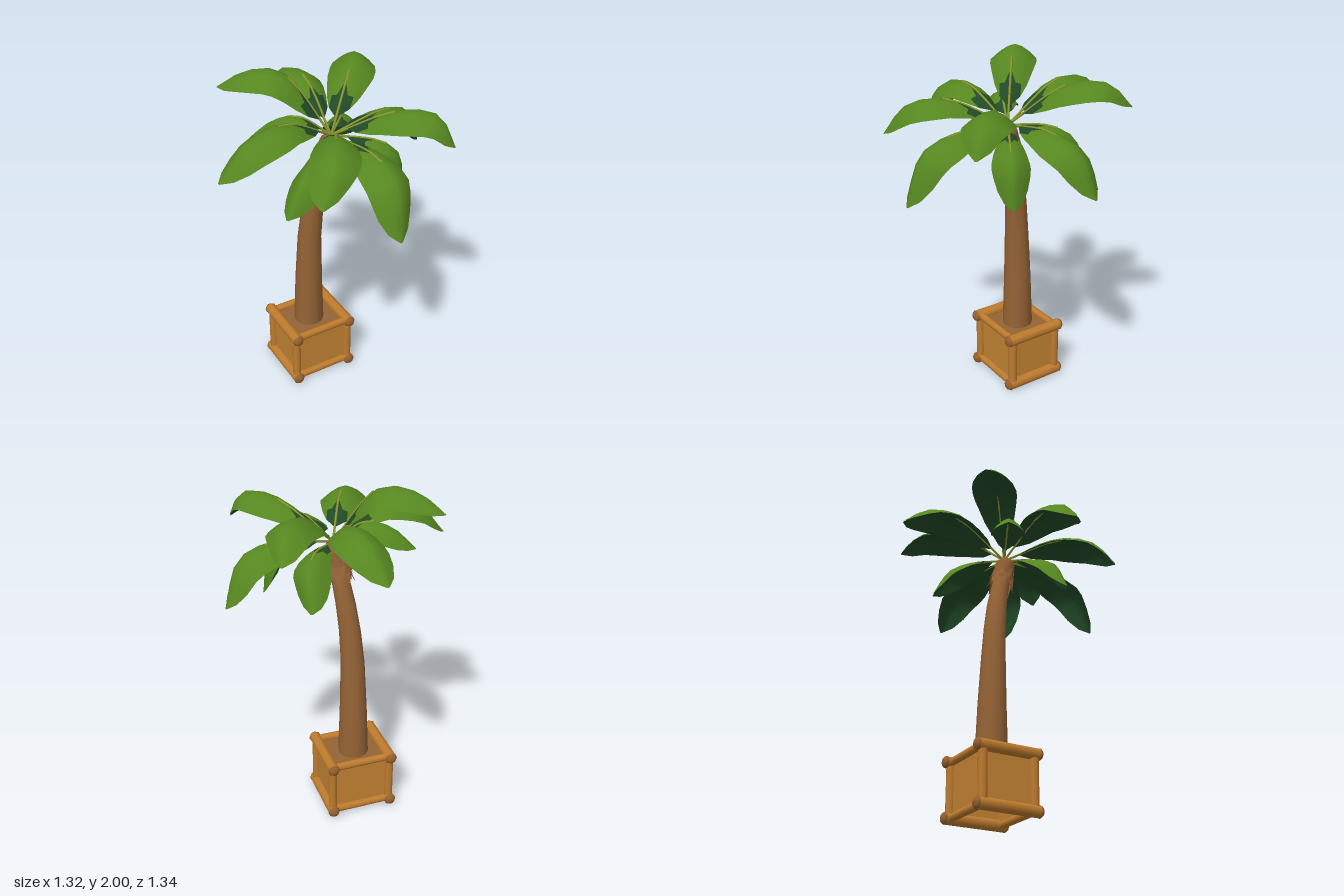
import * as THREE from 'three';
import { mergeVertices } from 'three/addons/utils/BufferGeometryUtils.js';

const mat = (name, color, side = THREE.FrontSide) => {
  const m = new THREE.MeshStandardMaterial({ color, side });
  m.name = name;
  return m;
};

export function createModel() {
  const model = new THREE.Group();
  model.name = 'pottedPalm';
  const logWood = mat('logWood', 0xbf7c2e);
  const panelWood = mat('panelWood', 0xc38333);
  const barkBrown = mat('barkBrown', 0x946335);
  const endBrown = mat('logEndBrown', 0x99632f);
  const huskBrown = mat('huskBrown', 0x8f5d34, THREE.DoubleSide);
  const leafGreen = mat('leafGreen', 0x568720);
  const leafDark = mat('leafDarkGreen', 0x224a27);
  const stemOlive = mat('stemOlive', 0x8c982f);

  const add = (parent, name, geo, material, x = 0, y = 0, z = 0) => {
    const m = new THREE.Mesh(geo, material);
    m.name = name;
    m.position.set(x, y, z);
    parent.add(m);
    return m;
  };

  // Planter: four thin panels, open below, framed with round logs
  const planter = new THREE.Group();
  planter.name = 'planter';
  planter.position.set(-0.047, 0, -0.1);
  model.add(planter);
  add(planter, 'soil', new THREE.BoxGeometry(0.33, 0.008, 0.28), barkBrown, 0, 0.333, 0);
  for (const s of [-1, 1]) {
    add(planter, 'sidePanel', new THREE.BoxGeometry(0.01, 0.29, 0.29), panelWood, s * 0.17, 0.19, 0);
    add(planter, 'endPanel', new THREE.BoxGeometry(0.34, 0.29, 0.01), panelWood, 0, 0.19, s * 0.142);
  }
  for (const y of [0.039, 0.346]) {
    for (const s of [-1, 1]) {
      const long = add(planter, 'sideLog', new THREE.CylinderGeometry(0.034, 0.034, 0.366, 8, 1, true), logWood, s * 0.179, y, 0);
      long.rotation.x = Math.PI / 2;
      for (const e of [-1, 1]) {
        const cap = add(planter, 'logEnd', new THREE.SphereGeometry(0.036, 8, 4), endBrown, s * 0.179, y, e * 0.182);
        cap.rotation.x = Math.PI / 2;
        cap.scale.y = 0.58;
      }
      const cross = add(planter, 'crossLog', new THREE.CylinderGeometry(0.023, 0.023, 0.34, 8), logWood, 0, y, s * 0.153);
      cross.rotation.z = Math.PI / 2;
    }
  }
  for (const x of [-0.178, 0.178]) for (const z of [-0.153, 0.153]) {
    add(planter, 'cornerPost', new THREE.CylinderGeometry(0.026, 0.026, 0.3, 8), logWood, x, 0.19, z);
  }

  // Trunk: rings of [y, x, z, radius] from the soil up
  const rings = [
    [0.32, -0.05, -0.105, 0.091], [0.65, -0.049, -0.102, 0.08], [0.95, -0.046, -0.093, 0.069],
    [1.14, -0.034, -0.078, 0.063], [1.3, -0.017, -0.055, 0.058], [1.42, 0.0, -0.027, 0.053],
    [1.54, 0.013, 0.006, 0.05], [1.61, 0.021, 0.025, 0.05],
  ];
  let trunk = new THREE.CylinderGeometry(1, 1, 1, 12, rings.length - 1, true);
  trunk.deleteAttribute('uv');
  trunk.deleteAttribute('normal');
  trunk = mergeVertices(trunk);
  const p = trunk.attributes.position;
  for (let i = 0; i < p.count; i++) {
    const [y, x, z, r] = rings[Math.round((p.getY(i) + 0.5) * (rings.length - 1))];
    p.setXYZ(i, x + p.getX(i) * r, y, z + p.getZ(i) * r);
  }
  trunk.computeVertexNormals();
  add(model, 'trunk', trunk, barkBrown);

  // Crown: rounded head with two rows of pointed husk scales
  const crown = new THREE.Group();
  crown.name = 'crown';
  crown.position.set(0.02, 1.595, 0.02);
  crown.quaternion.setFromUnitVectors(new THREE.Vector3(0, 1, 0), new THREE.Vector3(0.1, 1, 0.26).normalize());
  model.add(crown);
  add(crown, 'crownHead', new THREE.CapsuleGeometry(0.061, 0.05, 4, 12), huskBrown, 0, -0.025, 0);
  const scales = [];
  const polar = (a, r, y) => [Math.sin(a) * r, y, Math.cos(a) * r];
  for (const [top, shift] of [[-0.03, 0], [-0.075, 0.5]]) {
    for (let k = 0; k < 8; k++) {
      const a = (k + shift) * Math.PI / 4, h = Math.PI / 7;
      const l = polar(a - h, 0.062, top), r = polar(a + h, 0.062, top);
      const ml = polar(a - h, 0.067, top - 0.05), mr = polar(a + h, 0.067, top - 0.05);
      scales.push(...l, ...ml, ...mr, ...l, ...mr, ...r, ...ml, ...polar(a, 0.082, top - 0.115), ...mr);
    }
  }
  const scaleGeo = new THREE.BufferGeometry();
  scaleGeo.setAttribute('position', new THREE.Float32BufferAttribute(scales, 3));
  scaleGeo.computeVertexNormals();
  add(crown, 'huskScales', scaleGeo, huskBrown);

  // Leaf outline: distance along the midrib and half width there
  const outline = [
    [0.13, 0.06], [0.2, 0.45], [0.29, 0.7], [0.39, 0.87], [0.5, 1],
    [0.62, 1.02], [0.74, 0.95], [0.85, 0.78], [0.94, 0.48], [1, 0.05],
  ];
  const cols = 6;
  const up = new THREE.Vector3(0, 1, 0);

  // One sheet of a leaf, bent down at both sides; the top is dark near its base, ending in a point
  function leafSheet(curve, side, halfWidth, lower) {
    const pos = [], green = [], dark = [];
    for (const [t, w] of outline) {
      const c = curve.getPointAt(t);
      const n = side.clone().cross(curve.getTangentAt(t)).normalize();
      for (let j = 0; j <= cols; j++) {
        const u = (j / cols) * 2 - 1;
        const q = c.clone().addScaledVector(side, u * w * halfWidth)
          .addScaledVector(n, -0.08 * Math.pow(Math.abs(u * w), 1.6) - (lower ? 0.004 : 0));
        pos.push(q.x, q.y, q.z);
      }
    }
    for (let i = 0; i < outline.length - 1; i++) for (let j = 0; j < cols; j++) {
      const a = i * (cols + 1) + j, b = a + 1, c = a + cols + 1, d = c + 1;
      const tris = j < cols / 2 ? [[a, b, d], [a, d, c]] : [[a, b, c], [b, d, c]];
      const middle = j === cols / 2 - 1 || j === cols / 2;
      const rim = j === 0 || j === cols - 1;
      tris.forEach((tri, k) => {
        const isDark = lower || i === 0 || (i === 1 && (!rim || k === 0)) || (i === 2 && middle && k === 0);
        (isDark ? dark : green).push(...(lower ? tri.reverse() : tri));
      });
    }
    const g = new THREE.BufferGeometry();
    g.setAttribute('position', new THREE.Float32BufferAttribute(pos, 3));
    g.setIndex([...green, ...dark]);
    g.computeVertexNormals();
    g.addGroup(0, green.length, 0);
    g.addGroup(green.length, dark.length, 1);
    return g;
  }

  function addLeaf([x, y, z, midY, outerY, halfWidth = 0.127]) {
    const leaf = new THREE.Group();
    leaf.name = 'leaf';
    model.add(leaf);
    const start = new THREE.Vector3(0.03, 1.65, 0.022), tip = new THREE.Vector3(x, y, z);
    // the whole crown is swept a little towards the front left
    const at = (f, h, sweep) => start.clone().lerp(tip, f).setY(h).add(new THREE.Vector3(0.035 * sweep, 0, 0.028 * sweep));
    const curve = new THREE.CatmullRomCurve3([start, at(0.5, midY, 1), at(0.8, outerY, 0.85), tip]);
    const side = tip.clone().sub(start).setY(0).normalize().cross(up);
    add(leaf, 'leafTop', leafSheet(curve, side, halfWidth, false), [leafGreen, leafDark]);
    add(leaf, 'leafUnderside', leafSheet(curve, side, halfWidth, true), [leafGreen, leafDark]);
    const rib = [0, 0.12, 0.24, 0.36, 0.48].map((t) => curve.getPointAt(t).addScaledVector(up, -0.002));
    add(leaf, 'leafStem', new THREE.TubeGeometry(new THREE.CatmullRomCurve3(rib), 8, 0.007, 5), stemOlive);
  }

  // Leaves: tip x, y, z, then heights at half and four fifths of the way out
  [
    [-0.01, 1.68, -0.67, 1.86, 1.83], [-0.44, 1.88, -0.37, 1.985, 1.98],
    [0.46, 1.77, -0.48, 1.9, 1.905], [0.66, 1.4, -0.09, 1.7, 1.635],
    [0.48, 1.68, 0.51, 1.845, 1.835], [0.06, 1.33, 0.67, 1.68, 1.61],
    [-0.345, 1.6, 0.58, 1.81, 1.77], [-0.66, 1.59, 0.09, 1.82, 1.775],
    [-0.35, 1.34, 0.22, 1.61, 1.54, 0.1], [0.38, 1.31, 0.22, 1.62, 1.55, 0.1],
    [0.27, 1.42, -0.34, 1.66, 1.6, 0.1], [-0.37, 1.63, -0.18, 1.77, 1.74, 0.1],
  ].forEach(addLeaf);

  return model;
}
